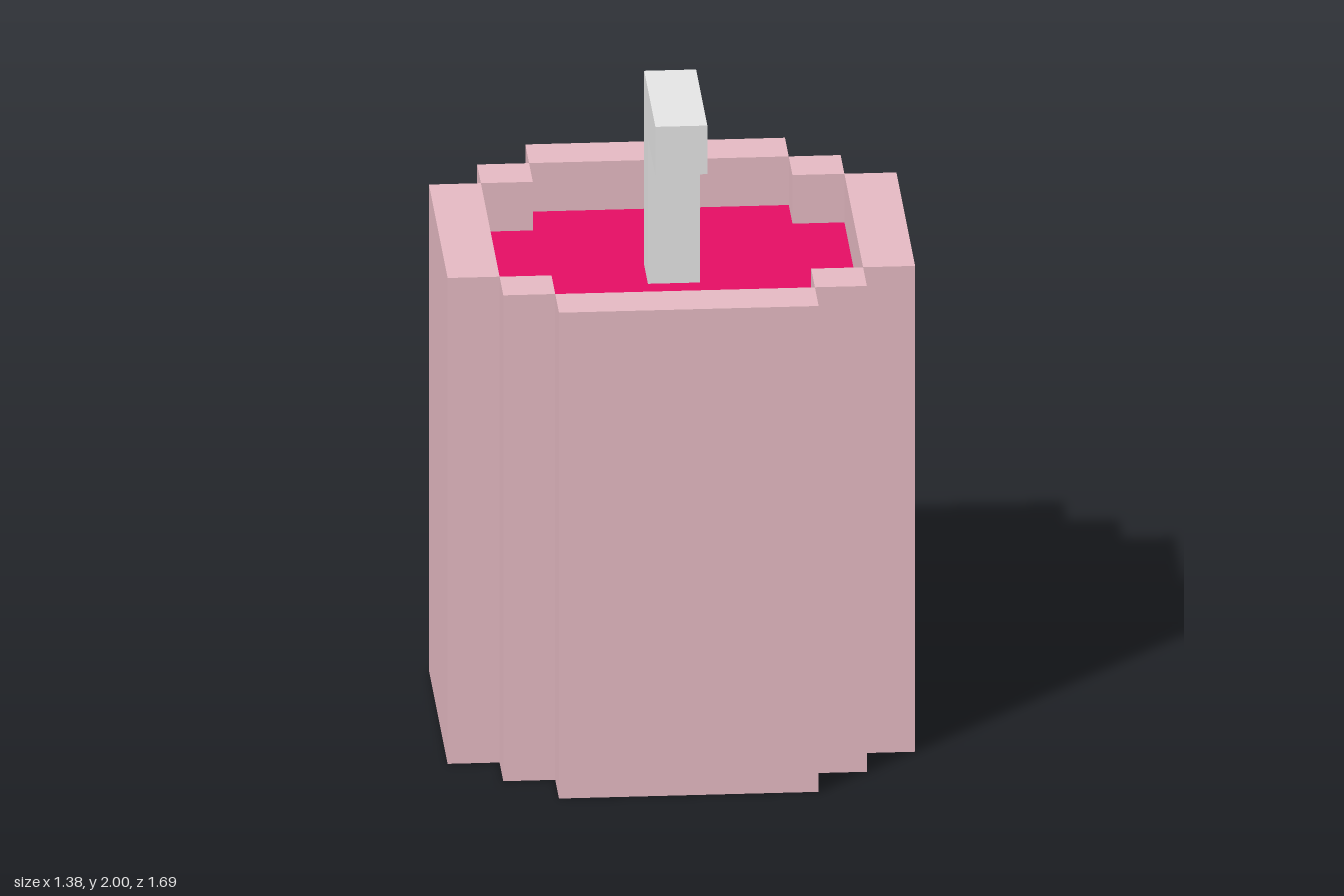
import * as THREE from 'three';

const U = 2 / 13; // one block

const mat = (name, color) => new THREE.MeshStandardMaterial({ name, color });

export function createModel() {
  const pink = mat('pale pink', 0xffcfd9);
  const red = mat('raspberry', 0xff1170);
  const white = mat('white', 0xffffff);

  const model = new THREE.Group();
  model.name = 'mugWithStraw';

  // Box given by its low and high corners, in blocks
  const box = (parent, name, material, [x0, y0, z0], [x1, y1, z1]) => {
    const geo = new THREE.BoxGeometry((x1 - x0) * U, (y1 - y0) * U, (z1 - z0) * U);
    const mesh = new THREE.Mesh(geo, material);
    mesh.name = name;
    mesh.position.set((x0 + x1) / 2 * U, (y0 + y1) / 2 * U, (z0 + z1) / 2 * U);
    parent.add(mesh);
  };

  // Round cup: four walls joined by corner posts, centred one block forward
  const cup = new THREE.Group();
  cup.name = 'cup';
  cup.position.z = U;
  model.add(cup);
  for (const s of [-1, 1]) {
    const a = s < 0 ? -4.5 : 3.5;
    box(cup, 'sideWall', pink, [a, 0, -2.5], [a + 1, 10, 2.5]);
    box(cup, 'endWall', pink, [-2.5, 0, a], [2.5, 10, a + 1]);
    for (const t of [-1, 1]) {
      const x = s < 0 ? -3.5 : 2.5, z = t < 0 ? -3.5 : 2.5;
      box(cup, 'cornerPost', pink, [x, 0, z], [x + 1, 10, z + 1]);
    }
  }

  // Cross-shaped floor and drink fill the inside of the cup
  const pts = [];
  for (const [sx, sz, flip] of [[1, 1, 0], [-1, 1, 1], [-1, -1, 0], [1, -1, 1]]) {
    const corner = [[3.5, 2.5], [2.5, 2.5], [2.5, 3.5]];
    if (flip) corner.reverse();
    for (const [x, z] of corner) pts.push(new THREE.Vector2(sx * x * U, sz * z * U));
  }
  const filling = (name, material, y0, y1) => {
    const geo = new THREE.ExtrudeGeometry(new THREE.Shape(pts), { depth: (y1 - y0) * U, bevelEnabled: false });
    geo.rotateX(-Math.PI / 2);
    const mesh = new THREE.Mesh(geo, material);
    mesh.name = name;
    mesh.position.y = y0 * U;
    cup.add(mesh);
  };
  filling('floor', pink, 0, 1);
  filling('drink', red, 1, 9);

  // Side profile in (z, y) blocks, extruded along x
  const profile = (name, material, points, x0, x1) => {
    const shape = new THREE.Shape(points.map(([z, y]) => new THREE.Vector2(-z * U, y * U)));
    const geo = new THREE.ExtrudeGeometry(shape, { depth: (x1 - x0) * U, bevelEnabled: false });
    geo.rotateY(Math.PI / 2);
    const mesh = new THREE.Mesh(geo, material);
    mesh.name = name;
    mesh.position.x = x0 * U;
    model.add(mesh);
  };

  // Handle at the back, half a block off centre
  profile('handle', pink, [[-3.5, 2], [-5.5, 2], [-5.5, 8], [-3.5, 8], [-3.5, 7], [-4.5, 7], [-4.5, 3], [-3.5, 3]], -1.5, 0.5);

  // Bent straw, tip pointing forward
  profile('straw', white, [[0.5, 9], [0.5, 13], [3.5, 13], [3.5, 12], [1.5, 12], [1.5, 9]], -0.5, 0.5);

  return model;
}
